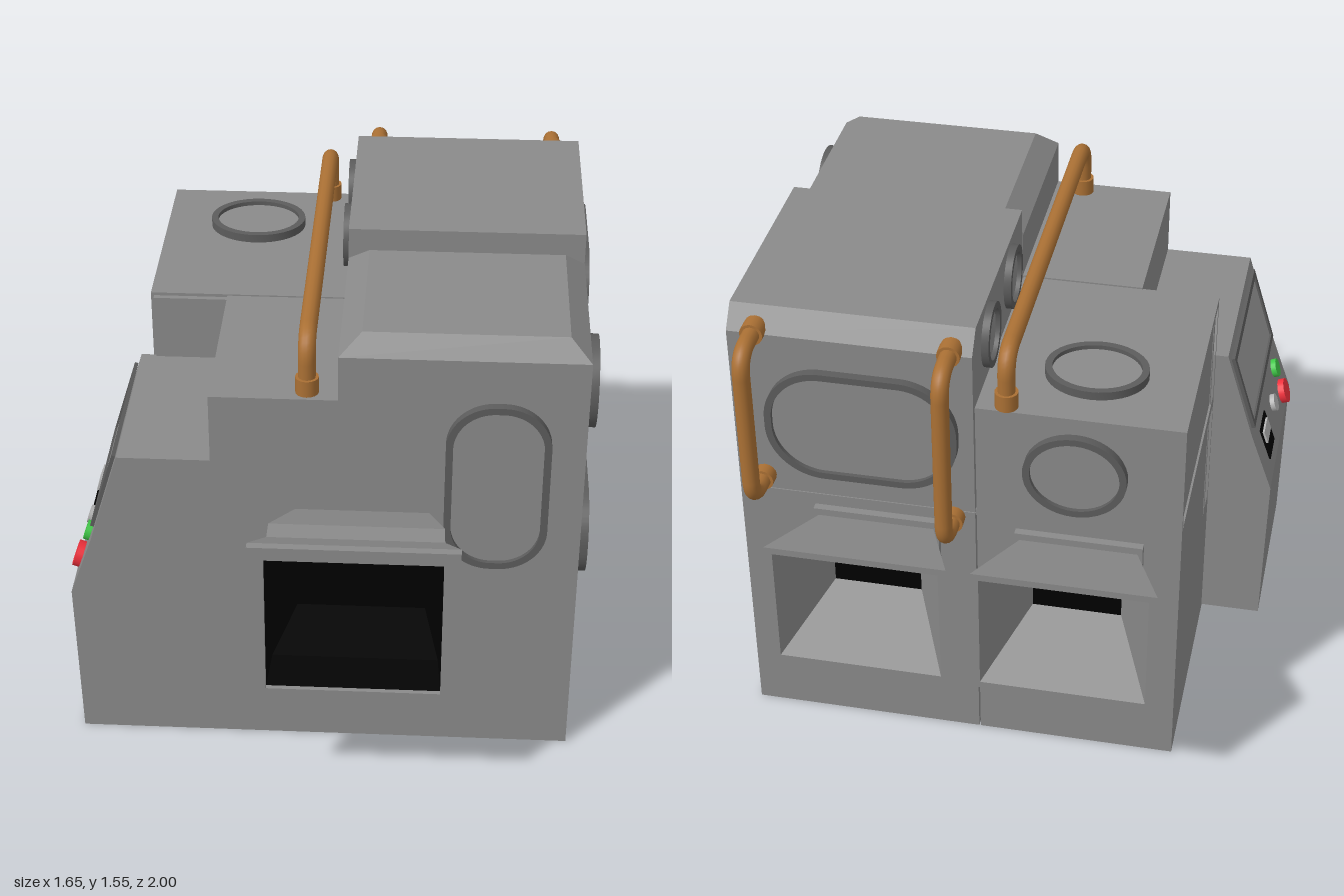
import * as THREE from 'three';
import { toCreasedNormals } from 'three/addons/utils/BufferGeometryUtils.js';

const mat = (color) => new THREE.MeshStandardMaterial({ color });
const grey = mat(0x8a8a8a), darkGrey = mat(0x5c5c5c), paleGrey = mat(0xb4b4b4), glass = mat(0x9c9c9c);
const copper = mat(0xaa7034), black = mat(0x000000), red = mat(0xf0303c), green = mat(0x40c848);
const X = new THREE.Vector3(1, 0, 0), Y = new THREE.Vector3(0, 1, 0), Z = new THREE.Vector3(0, 0, 1);

export function createModel() {
  const model = new THREE.Group();

  function add(name, geometry, material = grey, parent = model) {
    const mesh = new THREE.Mesh(geometry, material);
    mesh.name = name;
    parent.add(mesh);
    return mesh;
  }

  // Box from its limits
  function box(name, x0, x1, y0, y1, z0, z1, material, parent) {
    const g = new THREE.BoxGeometry(x1 - x0, y1 - y0, z1 - z0);
    g.translate((x0 + x1) / 2, (y0 + y1) / 2, (z0 + z1) / 2);
    return add(name, g, material, parent);
  }

  const polygon = (pts) => new THREE.Shape(pts.map(([x, y]) => new THREE.Vector2(x, y)));
  const rect = (x0, x1, y0, y1) => [[x0, y0], [x1, y0], [x1, y1], [x0, y1]];
  const extrude = (shape, depth) =>
    new THREE.ExtrudeGeometry(shape, { depth, bevelEnabled: false, curveSegments: 20 });

  // Profile in (z, y) extruded from x0 to x1
  function extrudeX(name, pts, holes, x0, x1) {
    const flip = (list) => list.map(([z, y]) => [-z, y]);
    const shape = polygon(flip(pts));
    holes.forEach((h) => shape.holes.push(polygon(flip(h))));
    return add(name, extrude(shape, x1 - x0).rotateY(Math.PI / 2).translate(x0, 0, 0));
  }

  // Rectangular sections [z, x0, x1, y0, y1] joined into a flat-sided skin
  function loft(sections, cap = false) {
    const rings = sections.map(([z, ...r]) => rect(...r).map(([x, y]) => [x, y, z]));
    const pos = [];
    const quad = (a, b, c, d) => pos.push(...a, ...b, ...c, ...a, ...c, ...d);
    for (let s = 0; s < rings.length - 1; s++) {
      for (let i = 0; i < 4; i++) {
        const j = (i + 1) % 4;
        quad(rings[s][i], rings[s][j], rings[s + 1][j], rings[s + 1][i]);
      }
    }
    if (cap) quad(...rings[rings.length - 1]);
    const g = new THREE.BufferGeometry();
    g.setAttribute('position', new THREE.Float32BufferAttribute(pos, 3));
    g.computeVertexNormals();
    return g;
  }

  // Group whose local +z is the surface normal and +y is "up"
  function mount(name, position, normal, up) {
    const group = new THREE.Group();
    group.name = name;
    const m = new THREE.Matrix4().makeBasis(up.clone().cross(normal), up, normal);
    group.quaternion.setFromRotationMatrix(m);
    group.position.set(...position);
    model.add(group);
    return group;
  }

  // Oval or rounded-rectangle outline
  function outline(w, h, round) {
    const s = new THREE.Shape();
    if (round) return s.absellipse(0, 0, w, h, 0, Math.PI * 2, false, 0);
    const r = Math.min(w, h) * 0.92, a = w - r, b = h - r;
    [[a, b], [-a, b], [-a, -b], [a, -b]].forEach(([x, y], i) =>
      s.absarc(x, y, r, i * Math.PI / 2, (i + 1) * Math.PI / 2, false));
    s.closePath();
    return s;
  }

  // Dark raised rim with a plate set back inside it
  function porthole(name, position, normal, up, w, h, round) {
    const group = mount(name, position, normal, up);
    const t = 0.022, rim = outline(w, h, round);
    rim.holes.push(outline(w - t, h - t, round));
    add('rim', toCreasedNormals(extrude(rim, 0.028), 0.6), darkGrey, group);
    add('plate', extrude(outline(w - t, h - t, round), 0.014), grey, group);
  }

  // Front housing with stepped top and sloping console end
  const front = polygon([[-0.8, 0], [0.795, 0], [0.795, 1.45], [0.043, 1.45], [0.043, 1.3], [-0.35, 1.3],
    [-0.35, 1.07], [-0.64, 1.07], [-0.735, 0.76], [-0.81, 0.55]]);
  add('frontHousing', extrude(front, 0.62).translate(0, 0, 0.03));
  add('bevelledCap', loft([[1.45, 0.043, 0.795, -0.65, -0.03], [1.51, 0.112, 0.73, -0.595, -0.085]], true)
    .rotateX(-Math.PI / 2));

  // Rear housing, with recessed side panels cut in the outer walls
  const inset = 0.012;
  box('rearLeftBody', -0.6 + inset, 0.038, 0, 1.3, -0.72, 0.022);
  box('rearRightBody', 0.043, 0.795 - inset, 0, 0.9, -0.72, 0.022);
  const lowPanel = rect(-0.71, 0.01, 0.51, 0.885), highPanel = rect(-0.7, 0.005, 0.925, 1.275);
  extrudeX('leftWall', rect(-0.72, 0.022, 0, 1.3), [lowPanel, highPanel], -0.6, -0.6 + inset);
  extrudeX('rightWall', rect(-0.72, 0.022, 0, 0.9), [lowPanel], 0.795 - inset, 0.795);
  extrudeX('rearRightTop', [[0.022, 0.903], [0.022, 1.55], [-0.665, 1.55], [-0.72, 1.48], [-0.72, 0.903]],
    [], 0.043, 0.795);
  box('seam', 0.03, 0.788, 0.89, 0.91, -0.715, 0.02);
  box('joint', -0.59, 0.785, 0.005, 1.29, 0.01, 0.04);

  // Portholes on every face
  const back = Z.clone().negate(), left = X.clone().negate();
  porthole('sidePorthole', [0.795, 1.29, 0.475], X, Y, 0.136, 0.146, true);
  porthole('sidePorthole', [0.795, 1.068, 0.177], X, Y, 0.136, 0.146, true);
  porthole('sideWindow', [0.795, 0.755, 0.346], X, Y, 0.272, 0.145);
  porthole('sideWindow', [0.795, 1.237, -0.35], X, Y, 0.273, 0.147);
  porthole('frontWindow', [0.53, 1.01, 0.65], Z, Y, 0.16, 0.295);
  porthole('topPorthole', [-0.29, 1.3, -0.475], Y, Z, 0.16, 0.136, true);
  porthole('backPorthole', [-0.27, 1.1, -0.72], back, Y, 0.16, 0.145, true);
  porthole('backWindow', [0.39, 1.18, -0.72], back, Y, 0.3, 0.195);
  for (const z of [-0.505, -0.175]) {
    porthole('smallPorthole', [0.048, 1.425, z], left, Y, 0.095, 0.105, true);
  }

  // Front intake hood with dark throat
  add('frontHood', loft([[0.65, -0.09, 0.325, 0.53, 0.9], [0.81, -0.16, 0.375, 0.475, 0.955],
    [0.88, -0.16, 0.375, 0.475, 0.955], [0.975, -0.21, 0.425, 0.42, 1], [1, -0.21, 0.425, 0.42, 1],
    [1, -0.16, 0.375, 0.47, 0.955], [0.985, -0.16, 0.375, 0.47, 0.955]]));
  add('frontThroat', loft([[0.985, -0.16, 0.375, 0.47, 0.955], [0.86, -0.15, 0.365, 0.49, 0.94],
    [0.655, -0.085, 0.32, 0.535, 0.895]], true), black);

  // Two flared rear chutes
  for (const x of [-0.285, 0.355]) {
    const chute = mount('rearChute', [x, 0, 0], back, Y);
    box('flange', -0.2, 0.2, 0.54, 0.86, 0.71, 0.745, grey, chute);
    add('funnel', loft([[0.74, -0.182, 0.182, 0.55, 0.835], [1, -0.283, 0.283, 0.44, 0.895],
      [1, -0.258, 0.258, 0.463, 0.872], [0.75, -0.14, 0.14, 0.59, 0.805]]), grey, chute);
    box('opening', -0.14, 0.14, 0.59, 0.805, 0.74, 0.752, black, chute);
  }

  // Pipe with rounded elbows and a collar at each end
  function pipe(points) {
    const group = new THREE.Group();
    group.name = 'pipe';
    model.add(group);
    const p = points.map((q) => new THREE.Vector3(...q));
    const path = new THREE.CurvePath();
    const toward = (a, b, d) => a.clone().add(b.clone().sub(a).setLength(d));
    let from = p[0];
    for (let i = 1; i < p.length - 1; i++) {
      const enter = toward(p[i], p[i - 1], 0.075), exit = toward(p[i], p[i + 1], 0.075);
      path.add(new THREE.LineCurve3(from, enter));
      path.add(new THREE.QuadraticBezierCurve3(enter, p[i], exit));
      from = exit;
    }
    path.add(new THREE.LineCurve3(from, p[p.length - 1]));
    add('tube', new THREE.TubeGeometry(path, 140, 0.027, 14), copper, group);
    const n = p.length - 1;
    for (const [a, b] of [[p[0], p[1]], [p[n], p[n - 1]]]) {
      const dir = b.clone().sub(a).normalize();
      const collar = add('collar', new THREE.CylinderGeometry(0.036, 0.036, 0.054, 16), copper, group);
      collar.quaternion.setFromUnitVectors(Y, dir);
      collar.position.copy(a).addScaledVector(dir, 0.027);
    }
  }
  pipe([[-0.053, 1.3, 0.603], [-0.053, 1.48, 0.603], [-0.053, 1.48, -0.69], [-0.053, 1.3, -0.69]]);
  for (const [x, low] of [[0.11, 0.88], [0.71, 0.957]]) {
    pipe([[x, 1.49, -0.69], [x, 1.49, -0.857], [x, low, -0.857], [x, low, -0.705]]);
  }

  // Control console on the sloping end: local x runs along the housing, y up the slope
  const slope = (dx, dy) => {
    const up = new THREE.Vector3(dx, dy, 0).normalize();
    return [new THREE.Vector3(-up.y, up.x, 0), up];
  };
  const screen = mount('screen', [-0.69, 0.913, 0.33], ...slope(0.095, 0.31));
  const frame = polygon(rect(-0.28, 0.28, -0.14, 0.14));
  frame.holes.push(polygon(rect(-0.26, 0.26, -0.12, 0.12)));
  add('screenFrame', extrude(frame, 0.012), darkGrey, screen);
  box('screenPane', -0.26, 0.26, -0.12, 0.12, 0, 0.005, glass, screen);

  const controls = mount('controls', [-0.7725, 0.655, 0.34], ...slope(0.075, 0.21));
  function button(name, x, y, r, h, material) {
    add(name, new THREE.CylinderGeometry(r, r, h, 20).rotateX(Math.PI / 2).translate(x, y, h / 2),
      material, controls);
  }
  button('redButton', 0.185, -0.05, 0.043, 0.022, red);
  button('greenButton', 0.185, 0.05, 0.032, 0.018, green);
  button('knob', 0.035, 0.005, 0.03, 0.016, paleGrey);
  box('slot', -0.21, -0.09, -0.06, 0.06, 0, 0.005, black, controls);
  box('slotLever', -0.2, -0.11, 0, 0.045, 0, 0.012, paleGrey, controls);

  return model;
}
